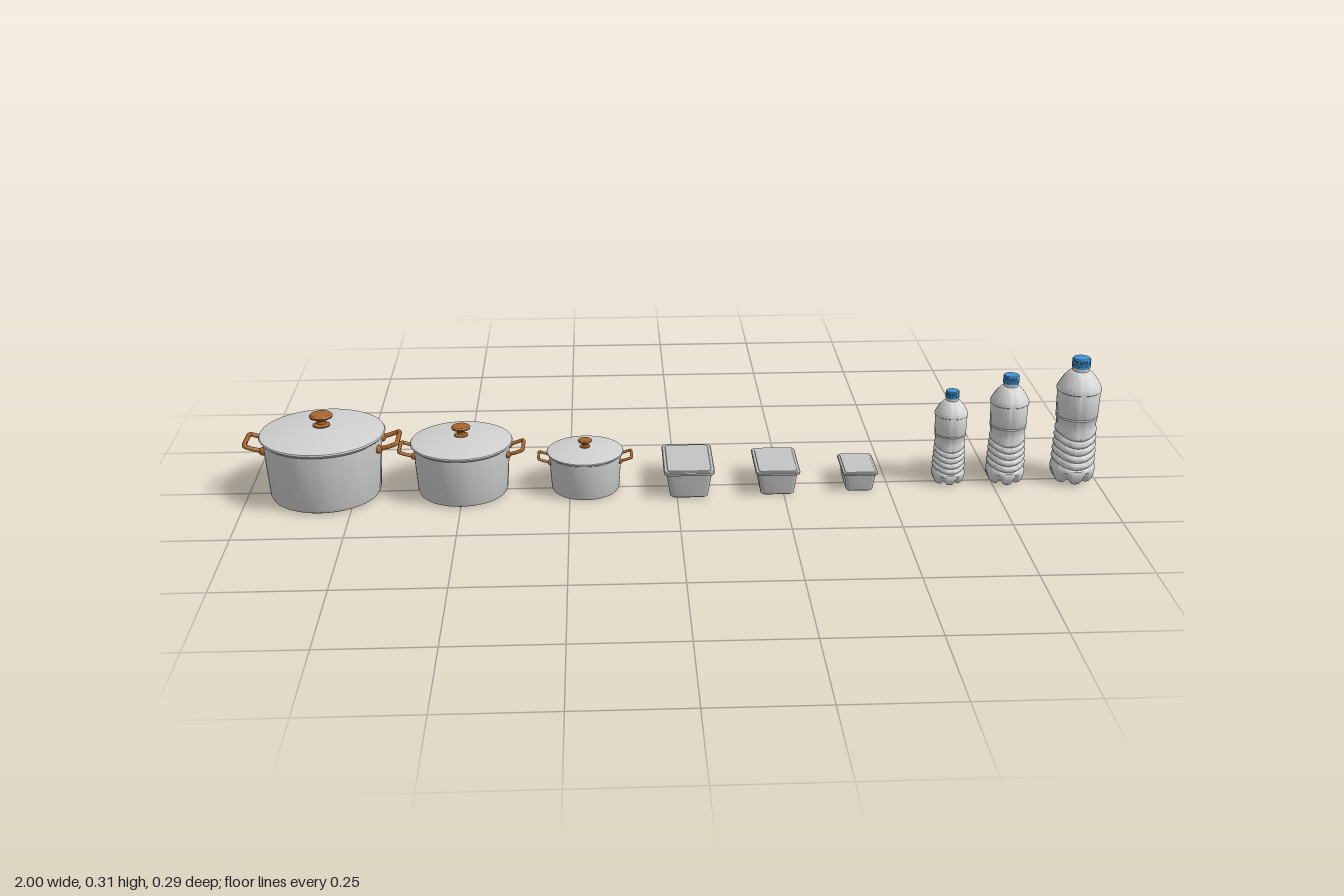
import * as THREE from 'three';
import { toCreasedNormals } from 'three/addons/utils/BufferGeometryUtils.js';

const mat = (name, color) => new THREE.MeshStandardMaterial({ name, color });

// Closed loops of points joined row by row, from the bottom centre up to the top
function loft(rows, n, point, crease) {
  const pos = [], idx = [];
  for (let j = 0; j < rows; j++) for (let i = 0; i < n; i++) pos.push(...point(i, j));
  for (let j = 0; j < rows - 1; j++) for (let i = 0; i < n; i++) {
    const a = j * n + i, b = j * n + (i + 1) % n;
    idx.push(a, b, a + n, b, b + n, a + n);
  }
  const g = new THREE.BufferGeometry();
  g.setAttribute('position', new THREE.Float32BufferAttribute(pos, 3));
  g.setIndex(idx);
  return toCreasedNormals(g, crease);
}

const lathe = (pts, seg = 48) =>
  toCreasedNormals(new THREE.LatheGeometry(pts.map(p => new THREE.Vector2(...p)), seg), 0.6);

export function createModel() {
  const model = new THREE.Group();
  model.name = 'kitchenSet';
  const metal = mat('pale metal', 0xd0d0d0);
  const copper = mat('copper brown', 0xa8662c);
  const tin = mat('container grey', 0xc4c4c4);
  const plastic = mat('bottle plastic', 0xd6d6d6);
  const blue = mat('cap blue', 0x3f93d2);

  const add = (parent, name, geo, material) => {
    const m = new THREE.Mesh(geo, material);
    m.name = name;
    parent.add(m);
    return m;
  };
  const place = (name, x, s) => {
    const g = new THREE.Group();
    g.name = name;
    g.position.x = x;
    g.scale.setScalar(s);
    model.add(g);
    return g;
  };

  // Pot parts, shared by the three sizes
  const potBody = lathe([[0, 0], [0.118, 0], [0.124, 0.003], [0.128, 0.012], [0.137, 0.143],
    [0.141, 0.146], [0.141, 0.149], [0.13, 0.149]]);
  const potLid = lathe([[0.135, 0.148], [0.143, 0.148], [0.145, 0.151], [0.143, 0.154], [0.135, 0.156],
    [0.1, 0.162], [0.06, 0.167], [0.03, 0.169], [0, 0.17]]);
  const knobGeo = lathe([[0.02, 0.167], [0.02, 0.172], [0.011, 0.175], [0.01, 0.181], [0.017, 0.186],
    [0.026, 0.19], [0.027, 0.194], [0.023, 0.198], [0.012, 0.2], [0, 0.2]], 24);
  const path = new THREE.CurvePath();
  const bend = [[0.13, 0.122, -0.036], [0.155, 0.129, -0.039], [0.172, 0.135, -0.038], [0.175, 0.136, -0.028],
    [0.175, 0.136, 0.028], [0.172, 0.135, 0.038], [0.155, 0.129, 0.039], [0.13, 0.122, 0.036]]
    .map(p => new THREE.Vector3(...p));
  for (let i = 1; i < bend.length; i++) path.add(new THREE.LineCurve3(bend[i - 1], bend[i]));
  const handleGeo = new THREE.TubeGeometry(path, 56, 0.0055, 8);
  const mountGeo = new THREE.SphereGeometry(0.01, 12, 8);

  [['largePot', -0.82, 1], ['mediumPot', -0.5, 0.82], ['smallPot', -0.213, 0.62]].forEach(([name, x, s]) => {
    const pot = place(name, x, s);
    add(pot, 'potBody', potBody, metal);
    add(pot, 'potLid', potLid, metal);
    add(pot, 'lidKnob', knobGeo, copper);
    for (const side of [1, -1]) {
      const h = new THREE.Group();
      h.name = side > 0 ? 'leftHandle' : 'rightHandle';
      h.rotation.y = side > 0 ? 0 : Math.PI;
      add(h, 'handleBar', handleGeo, copper);
      for (const z of [-0.036, 0.036]) add(h, 'handleMount', mountGeo, copper).position.set(0.132, 0.122, z);
      pot.add(h);
    }
  });

  // Rounded rectangular loop: half width, half depth, corner radius, height
  const corner = 5;
  const roundedLoft = sections => loft(sections.length, corner * 4, (i, j) => {
    const [w, d, r, y] = sections[j], q = Math.floor(i / corner);
    const a = (q + (i % corner) / (corner - 1)) * Math.PI / 2;
    const sx = q === 0 || q === 3 ? 1 : -1, sz = q < 2 ? -1 : 1;
    return [sx * (w - r) + r * Math.cos(a), y, sz * (d - r) - r * Math.sin(a)];
  }, 0.5);
  const trayGeo = roundedLoft([[0, 0, 0, 0], [0.04, 0.068, 0.01, 0], [0.044, 0.072, 0.012, 0.003],
    [0.053, 0.081, 0.013, 0.062]]);
  const coverGeo = roundedLoft([[0, 0, 0, 0.062], [0.058, 0.086, 0.012, 0.062], [0.059, 0.087, 0.013, 0.064],
    [0.059, 0.087, 0.013, 0.068], [0.057, 0.085, 0.012, 0.07], [0.051, 0.079, 0.01, 0.07],
    [0.05, 0.078, 0.01, 0.0715], [0, 0, 0, 0.0715]]);
  [['largeContainer', 0.028, 1], ['mediumContainer', 0.235, 0.88], ['smallContainer', 0.43, 0.7]]
    .forEach(([name, x, s]) => {
      const box = place(name, x, s);
      add(box, 'tray', trayGeo, tin);
      add(box, 'cover', coverGeo, tin);
    });

  // Bottle rows: radius, height, rib wave strength, foot notch strength
  const rows = [[0, 0.012, 0, 0], [0.012, 0.01, 0, 0.2], [0.026, 0.002, 0, 0.8], [0.036, 0, 0, 1],
    [0.044, 0.004, 0, 1], [0.049, 0.012, 0, 0.8], [0.052, 0.022, 0, 0.5], [0.053, 0.032, 0, 0.1],
    [0.051, 0.041, 0.6, 0]];
  for (let k = 0; k < 5; k++) {
    const y = 0.046 + k * 0.018, r = 0.052 - k * 0.0008;
    rows.push([r - 0.005, y, 1, 0], [r - 0.001, y + 0.004, 1, 0], [r, y + 0.008, 1, 0],
      [r - 0.001, y + 0.013, 1, 0]);
  }
  rows.push([0.0455, 0.138, 0.6, 0], [0.046, 0.148, 0, 0], [0.049, 0.164, 0, 0], [0.0475, 0.167, 0, 0],
    [0.049, 0.17, 0, 0], [0.05, 0.224, 0, 0], [0.049, 0.227, 0, 0], [0.052, 0.229, 0, 0], [0.052, 0.234, 0, 0],
    [0.048, 0.243, 0, 0], [0.039, 0.258, 0, 0], [0.027, 0.272, 0, 0], [0.023, 0.275, 0, 0],
    [0.019, 0.276, 0, 0], [0.019, 0.286, 0, 0], [0, 0.286, 0, 0]);
  const seg = 72;
  const bottleGeo = loft(rows.length, seg, (i, j) => {
    const [r0, y0, wave, foot] = rows[j], a = i / seg * Math.PI * 2;
    const notch = foot * (0.5 + 0.5 * Math.cos(6 * a)) ** 2;
    const r = r0 * (1 - 0.14 * notch);
    return [r * Math.cos(a), y0 + 0.006 * wave * Math.cos(2 * a) + 0.01 * notch, -r * Math.sin(a)];
  }, 0.6);

  // Cap with grip ridges around a plain top
  const capRows = [[0, 0.284], [0.021, 0.284], [0.021, 0.288], [0.0205, 0.289], [0.0205, 0.304],
    [0.019, 0.307], [0, 0.307]];
  const capGeo = loft(capRows.length, 48, (i, j) => {
    const a = i / 48 * Math.PI * 2, r = capRows[j][0] * (j > 2 && j < 5 && i % 2 ? 1.05 : 1);
    return [r * Math.cos(a), capRows[j][1], -r * Math.sin(a)];
  }, 0.3);

  [['smallBottle', 0.647, 0.75], ['mediumBottle', 0.783, 0.87], ['largeBottle', 0.945, 1]]
    .forEach(([name, x, s]) => {
      const bottle = place(name, x, s);
      add(bottle, 'bottleBody', bottleGeo, plastic);
      add(bottle, 'bottleCap', capGeo, blue);
    });

  return model;
}
